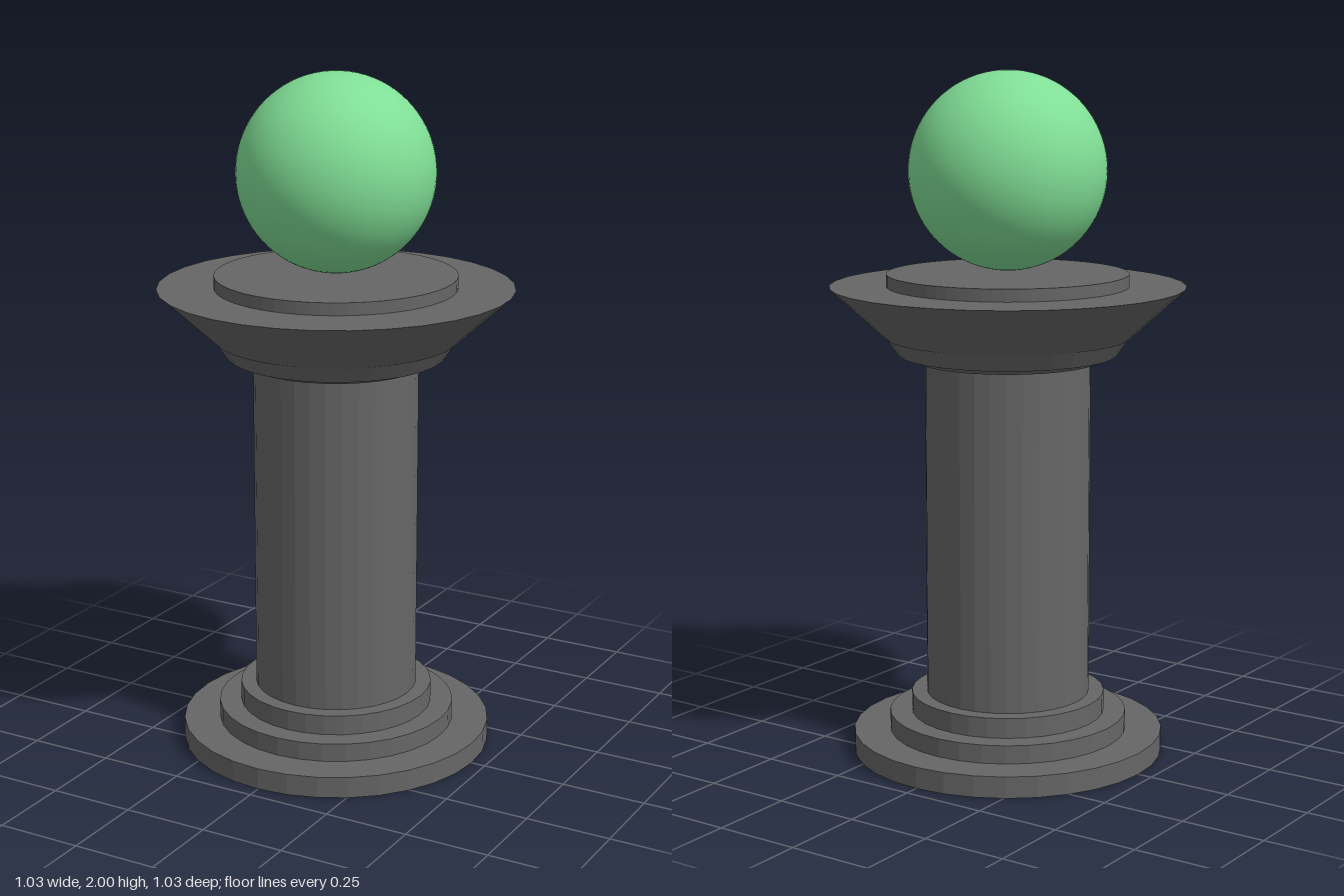
import * as THREE from 'three';

export function createModel() {
  const model = new THREE.Group();
  const stone = new THREE.MeshStandardMaterial({ color: 0x666666, flatShading: true });
  const green = new THREE.MeshStandardMaterial({ color: 0x80de95 });

  // Round section between two heights, tapering from rBottom to rTop
  function drum(name, y0, y1, rBottom, rTop = rBottom, sides = 32) {
    const mesh = new THREE.Mesh(new THREE.CylinderGeometry(rTop, rBottom, y1 - y0, sides), stone);
    mesh.name = name;
    mesh.position.y = (y0 + y1) / 2;
    model.add(mesh);
  }

  // Stepped base
  drum('baseLowerStep', 0, 0.063, 0.457);
  drum('baseMiddleStep', 0.063, 0.117, 0.35);
  drum('baseUpperStep', 0.117, 0.176, 0.285);

  // Column shaft
  drum('shaft', 0.176, 1.17, 0.24);

  // Flared capital with a raised disc on top
  drum('capitalNeck', 1.17, 1.187, 0.27, 0.288);
  drum('capitalCollar', 1.187, 1.237, 0.317, 0.352);
  drum('capitalFlare', 1.237, 1.385, 0.355, 0.515);
  drum('topDisc', 1.385, 1.421, 0.35, 0.35, 64);

  // Ball hovering just above the disc
  const ball = new THREE.Mesh(new THREE.SphereGeometry(0.285, 64, 40), green);
  ball.name = 'ball';
  ball.position.y = 1.715;
  model.add(ball);

  return model;
}
